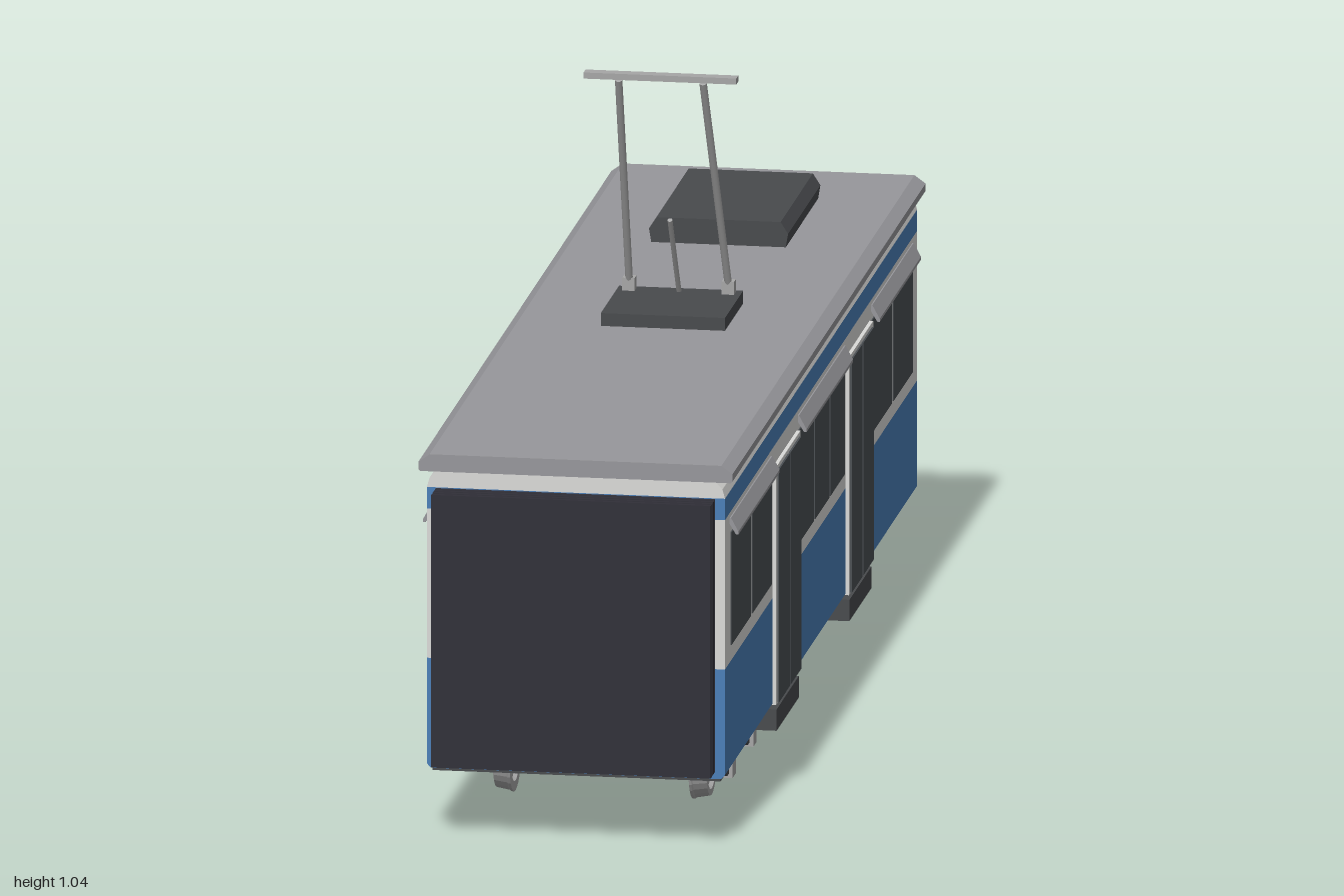
import * as THREE from 'three';

const paint = (name, color) => {
  const m = new THREE.MeshStandardMaterial({ color });
  m.name = name;
  return m;
};

export function createModel() {
  const blue = paint('blue', 0x4a7fb8);
  const white = paint('white', 0xdadad8);
  const roofGrey = paint('roofGrey', 0x97979b);
  const dark = paint('darkGrey', 0x484a4d);
  const glass = paint('glass', 0x4a4f53);
  const rubber = paint('rubber', 0x302f38);
  const metal = paint('metal', 0xa6a6a6);

  const model = new THREE.Group();
  model.name = 'tramCar';

  const add = (name, geo, mat, x = 0, y = 0, z = 0, parent = model) => {
    const mesh = new THREE.Mesh(geo, mat);
    mesh.name = name;
    mesh.position.set(x, y, z);
    parent.add(mesh);
    return mesh;
  };
  // Box given by its limits on each axis
  const box = (name, mat, [x0, x1], [y0, y1], [z0, z1], parent = model) =>
    add(name, new THREE.BoxGeometry(Math.abs(x1 - x0), y1 - y0, Math.abs(z1 - z0)), mat,
      (x0 + x1) / 2, (y0 + y1) / 2, (z0 + z1) / 2, parent);
  // Outline extruded along z
  const extrude = (pts, depth) => new THREE.ExtrudeGeometry(
    new THREE.Shape(pts.map(p => new THREE.Vector2(...p))), { depth, bevelEnabled: false });
  const prism = (name, mat, pts, z0, z1) => add(name, extrude(pts, z1 - z0), mat, 0, 0, z0);
  const mirrored = half => [...half, ...half.map(([x, y]) => [-x, y]).reverse()];
  // Round bar between two points
  const rod = (name, mat, a, b, r, parent = model) => {
    const p = new THREE.Vector3(...a), q = new THREE.Vector3(...b);
    const d = q.clone().sub(p);
    const m = add(name, new THREE.CylinderGeometry(r, r, d.length(), 10), mat, 0, 0, 0, parent);
    m.position.copy(p).add(q).multiplyScalar(0.5);
    m.quaternion.setFromUnitVectors(new THREE.Vector3(0, 1, 0), d.normalize());
  };

  // Body bands, stacked
  const L = 0.95;
  prism('lowerBody', blue, mirrored([[0.234, 0.105], [0.24, 0.112], [0.24, 0.285]]), -L, L);
  box('windowBand', white, [-0.24, 0.24], [0.285, 0.53], [-L, L]);
  box('upperStripe', blue, [-0.24, 0.24], [0.53, 0.565], [-L, L]);
  prism('cornice', white, mirrored([[0.24, 0.565], [0.236, 0.58], [0.225, 0.592]]), -L, L);
  box('floor', dark, [-0.232, 0.232], [0.1, 0.106], [-0.945, 0.945]);
  prism('roof', roofGrey, mirrored([[0.25, 0.592], [0.253, 0.595], [0.253, 0.607], [0.235, 0.62]]),
    -0.955, 0.955);

  // Folded bellows at both ends
  for (const s of [-1, 1]) {
    for (let i = 0; i < 4; i++) {
      const z = 0.95 + i * 0.0125;
      box('bellowsGroove', rubber, [-0.215, 0.215], [0.13, 0.555], [s * z, s * (z + 0.005)]);
      box('bellowsFold', rubber, [-0.225, 0.225], [0.118, 0.565], [s * (z + 0.005), s * (z + 0.0125)]);
    }
  }

  // Windows, awnings, doors and steps on each side
  const windows = [[0.898, 0.706], [0.69, 0.497], [0.225, 0.082], [0.07, -0.07],
    [-0.082, -0.225], [-0.497, -0.69], [-0.706, -0.898]];
  const awnings = [[0.495, 0.903], [-0.23, 0.23], [-0.903, -0.495]];
  for (const s of [-1, 1]) {
    for (const zz of windows)
      box('window', glass, [s * 0.238, s * 0.242], [0.312, 0.497], zz);
    for (const [z0, z1] of awnings)
      prism('awning', roofGrey, [[s * 0.238, 0.522], [s * 0.242, 0.522], [s * 0.254, 0.5],
        [s * 0.254, 0.495], [s * 0.25, 0.495], [s * 0.238, 0.515]], z0, z1);
    for (const c of [-0.36, 0.36]) {
      box('doorFrame', white, [s * 0.235, s * 0.246], [0.11, 0.5], [c - 0.12, c + 0.12]);
      for (const k of [-1, 1])
        box('doorLeaf', glass, [s * 0.24, s * 0.249], [0.112, 0.493], [c + k * 0.004, c + k * 0.109]);
      box('step', dark, [s * 0.205, s * 0.245], [0.065, 0.1], [c - 0.11, c + 0.11]);
    }
  }

  // Equipment under the floor
  box('underfloorBox', dark, [-0.19, 0.19], [0.07, 0.102], [-0.3, 0.3]);
  for (const s of [-1, 1]) {
    box('sideBeam', metal, [s * 0.185, s * 0.2], [0.072, 0.096], [-0.25, 0.25]);
    for (let i = 0; i < 4; i++) {
      const z = (i - 1.5) * 0.145;
      box('beamOpening', dark, [s * 0.198, s * 0.203], [0.074, 0.094], [z - 0.033, z + 0.033]);
    }
  }

  // Bogies with profiled wheels, side frames, axle boxes and springs
  const wheelGeo = new THREE.LatheGeometry([[0, -0.008], [0.04, -0.008], [0.044, -0.014], [0.054, -0.014],
    [0.058, 0.008], [0.06, 0.01], [0.06, 0.014], [0.044, 0.014], [0.04, 0.008], [0, 0.008]]
    .map(p => new THREE.Vector2(...p)), 28).toNonIndexed();
  wheelGeo.computeVertexNormals();
  const frameGeo = extrude(mirrored([[0.05, 0.062], [0.07, 0.045], [0.135, 0.045], [0.16, 0.06],
    [0.16, 0.085], [0.14, 0.092], [0.075, 0.092], [0.05, 0.085]]), 0.02);
  for (const c of [-0.56, 0.56]) {
    const bogie = new THREE.Group();
    bogie.name = 'bogie';
    bogie.position.z = c;
    model.add(bogie);
    box('bolster', dark, [-0.145, 0.145], [0.068, 0.102], [-0.075, 0.075], bogie);
    for (const s of [-1, 1]) {
      const frame = add('sideFrame', frameGeo, dark, s * 0.192 - 0.01, 0, 0, bogie);
      frame.rotation.y = Math.PI / 2;
    }
    for (const z of [-0.103, 0.103]) {
      rod('axle', metal, [-0.2, 0.06, z], [0.2, 0.06, z], 0.01, bogie);
      for (const s of [-1, 1]) {
        const wheel = add('wheel', wheelGeo, metal, s * 0.158, 0.06, z, bogie);
        wheel.rotation.z = s * Math.PI / 2;
        box('axleBox', metal, [s * 0.18, s * 0.208], [0.038, 0.074], [z - 0.016, z + 0.016], bogie);
        for (const k of [-0.025, 0.025])
          rod('spring', metal, [s * 0.192, 0.09, z + k], [s * 0.192, 0.104, z + k], 0.01, bogie);
      }
    }
  }

  // Roof equipment
  prism('roofUnit', dark, mirrored([[0.108, 0.618], [0.112, 0.642], [0.1, 0.661]]), -0.78, -0.46);
  box('collectorBase', dark, [-0.1, 0.1], [0.618, 0.641], [-0.09, 0.09]);
  for (const s of [-1, 1]) {
    rod('collectorArm', metal, [s * 0.08, 0.65, -0.07], [s * 0.068, 1.03, 0.11], 0.006);
    box('collectorFoot', metal, [s * 0.07, s * 0.09], [0.64, 0.662], [-0.08, -0.06]);
  }
  rod('collectorStrut', metal, [0, 0.64, -0.07], [0, 0.78, 0.02], 0.004);
  box('contactBar', metal, [-0.123, 0.123], [1.032, 1.042], [0.1, 0.12]);

  return model;
}
